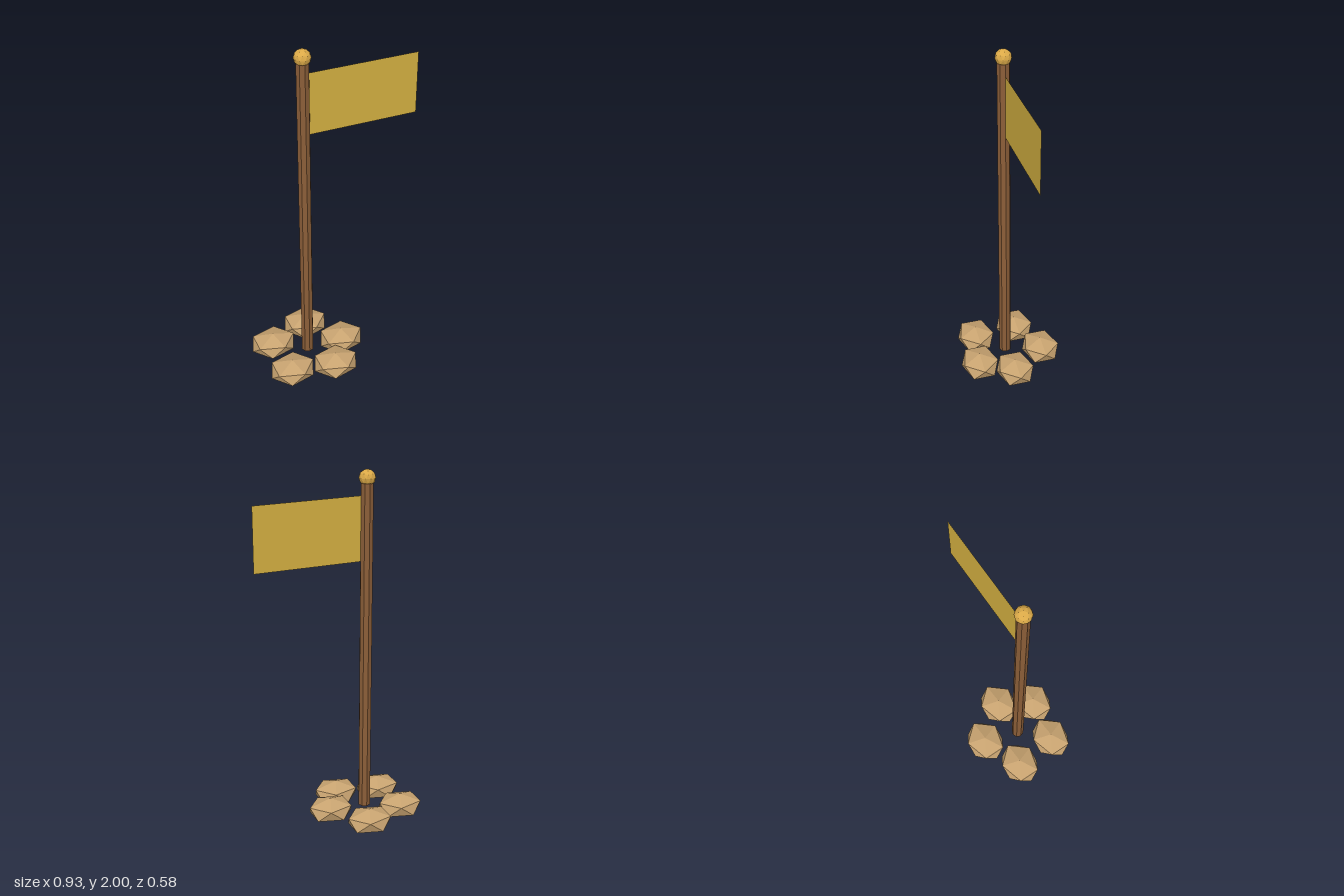
import * as THREE from 'three';

const flat = (name, color) => {
  const m = new THREE.MeshStandardMaterial({ color, flatShading: true });
  m.name = name;
  return m;
};

// Icosahedron standing on a vertex, with one upper ring vertex toward +x
function icoBall(detail) {
  const ringR = 2 / Math.sqrt(5), ringY = 1 / Math.sqrt(5);
  const verts = [0, 1, 0], faces = [];
  for (const [y, offset] of [[ringY, 0], [-ringY, Math.PI / 5]]) {
    for (let i = 0; i < 5; i++) {
      const a = offset + (i * Math.PI * 2) / 5;
      verts.push(ringR * Math.cos(a), y, ringR * Math.sin(a));
    }
  }
  verts.push(0, -1, 0);
  for (let i = 0; i < 5; i++) {
    const u = 1 + i, un = 1 + ((i + 1) % 5), l = 6 + i, ln = 6 + ((i + 1) % 5);
    faces.push(0, un, u, u, un, l, un, ln, l, 11, l, ln);
  }
  return new THREE.PolyhedronGeometry(verts, faces, 1, detail);
}

export function createModel() {
  const wood = flat('brown wood', 0x8b5e38);
  const gold = flat('gold knob', 0xdcaa48);
  const cloth = flat('yellow cloth', 0xd2ae40);
  cloth.side = THREE.DoubleSide;
  const stone = flat('tan stone', 0xc8a370);

  const group = new THREE.Group();
  const poleX = -0.165, poleZ = 0.006;
  const add = (name, geometry, material, x, y, z) => {
    const mesh = new THREE.Mesh(geometry, material);
    mesh.name = name;
    mesh.position.set(x, y, z);
    group.add(mesh);
    return mesh;
  };

  // Pole with its round finial
  const bottom = 0.06, top = 1.93;
  add('pole', new THREE.CylinderGeometry(0.035, 0.035, top - bottom, 8), wood,
    poleX, (top + bottom) / 2, poleZ);
  add('finial', icoBall(1), gold, poleX, 1.955, poleZ).scale.setScalar(0.045);

  // Flat flag
  add('flag', new THREE.PlaneGeometry(0.6, 0.353), cloth, 0.166, 1.687, poleZ);

  // Ring of flattened stones round the foot
  const stoneGeometry = icoBall(0).scale(0.141, 0.068, 0.118);
  [[0.045, 0.007], [-0.065, 0.19], [-0.313, 0.15], [-0.34, -0.1], [-0.105, -0.194]]
    .forEach(([x, z], i) => add(`stone${i + 1}`, stoneGeometry, stone, x, 0.073, z));
  // Rest the lowest point on the ground
  group.children.filter((m) => m.name.startsWith('stone')).forEach((m) => { m.position.y = 0.07; });

  return group;
}
